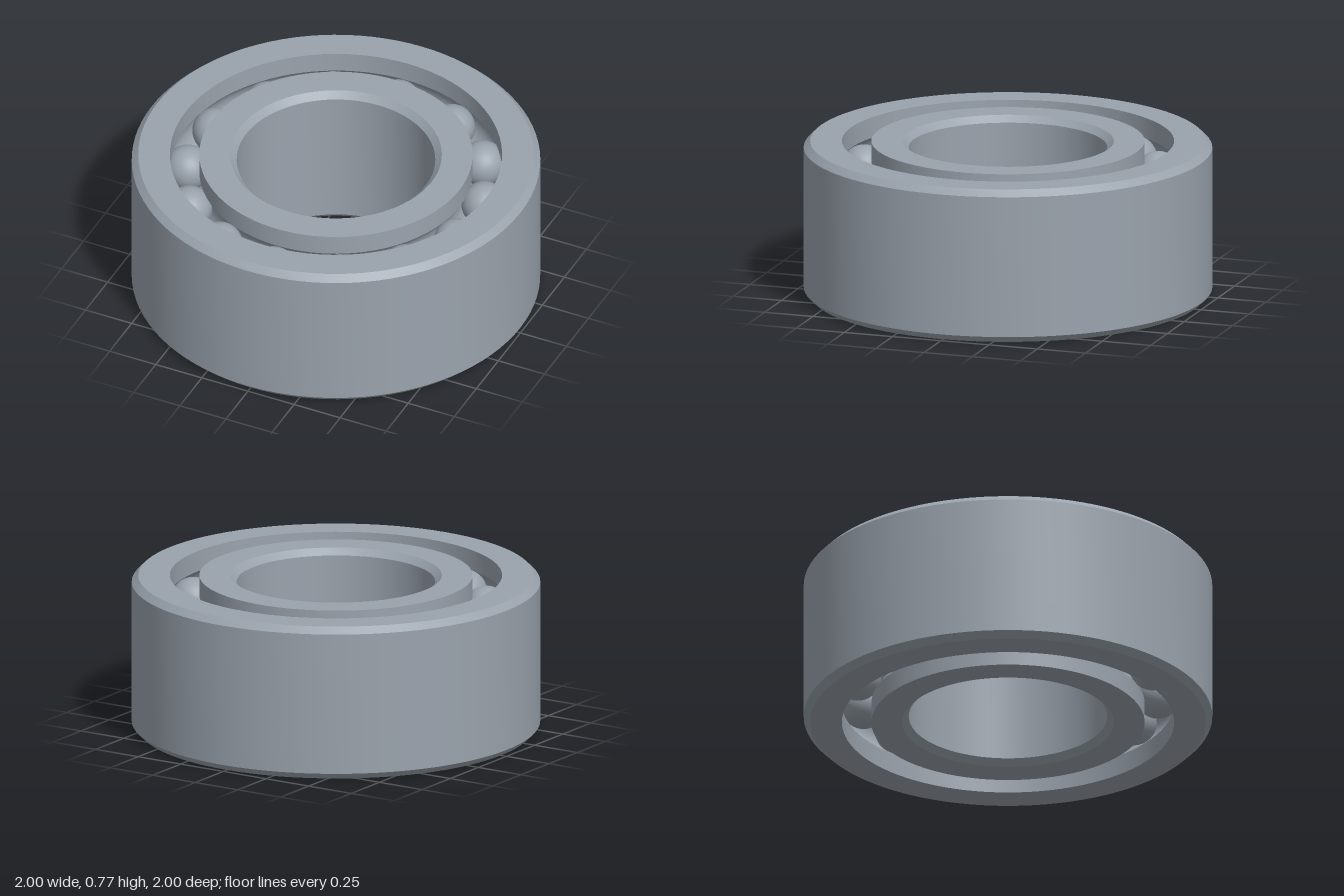
import * as THREE from 'three';
import { toCreasedNormals } from 'three/addons/utils/BufferGeometryUtils.js';

const H = 0.77;              // ring width
const C = 0.032;             // chamfer
const BORE = 0.486;
const INNER = 0.669;         // inner ring shoulder radius
const OUTER = 0.813;         // outer ring shoulder radius
const PITCH = 0.741;         // ball circle radius
const BALL = 0.113;
const GROOVE = 0.115;
const ROWS = [H / 4, (3 * H) / 4];
const BALLS_PER_ROW = 14;

// Raceway wall running upward at a shoulder radius, with one round groove per ball row
function raceway(shoulder) {
  const points = [[shoulder, 0]];
  const side = Math.sign(shoulder - PITCH);
  const half = Math.acos(Math.abs(shoulder - PITCH) / GROOVE);
  const steps = 14;
  for (const y of ROWS) {
    for (let i = 0; i <= steps; i++) {
      const a = -half + (2 * half * i) / steps;
      points.push([PITCH + side * GROOVE * Math.cos(a), y + GROOVE * Math.sin(a)]);
    }
  }
  points.push([shoulder, H]);
  return points;
}

// Closed ring turned from a counterclockwise [radius, height] profile
function ring(name, profile, material) {
  const points = [...profile, profile[0]].map(([r, y]) => new THREE.Vector2(r, y));
  const geometry = toCreasedNormals(new THREE.LatheGeometry(points, 96), 0.5);
  const mesh = new THREE.Mesh(geometry, material);
  mesh.name = name;
  return mesh;
}

export function createModel() {
  const group = new THREE.Group();
  group.name = 'doubleRowBallBearing';
  const steel = new THREE.MeshStandardMaterial({ color: 0x9aa3ad });
  steel.name = 'steel grey';

  // Outer ring: chamfered outside, grooved inside
  group.add(ring('outerRing', [
    [1 - C, 0], [1, C], [1, H - C], [1 - C, H],
    ...raceway(OUTER).reverse(),
  ], steel));

  // Inner ring: grooved outside, chamfered bore
  group.add(ring('innerRing', [
    ...raceway(INNER),
    [BORE + C, H], [BORE, H - C], [BORE, C], [BORE + C, 0],
  ], steel));

  // Two aligned rows of balls
  const ballGeometry = new THREE.SphereGeometry(BALL, 32, 20);
  const start = THREE.MathUtils.degToRad(91.2);
  ROWS.forEach((y, row) => {
    const balls = new THREE.Group();
    balls.name = row === 0 ? 'lowerBallRow' : 'upperBallRow';
    for (let i = 0; i < BALLS_PER_ROW; i++) {
      const a = start + (i * 2 * Math.PI) / BALLS_PER_ROW;
      const ball = new THREE.Mesh(ballGeometry, steel);
      ball.name = 'ball';
      ball.position.set(PITCH * Math.cos(a), y, -PITCH * Math.sin(a));
      balls.add(ball);
    }
    group.add(balls);
  });

  return group;
}
